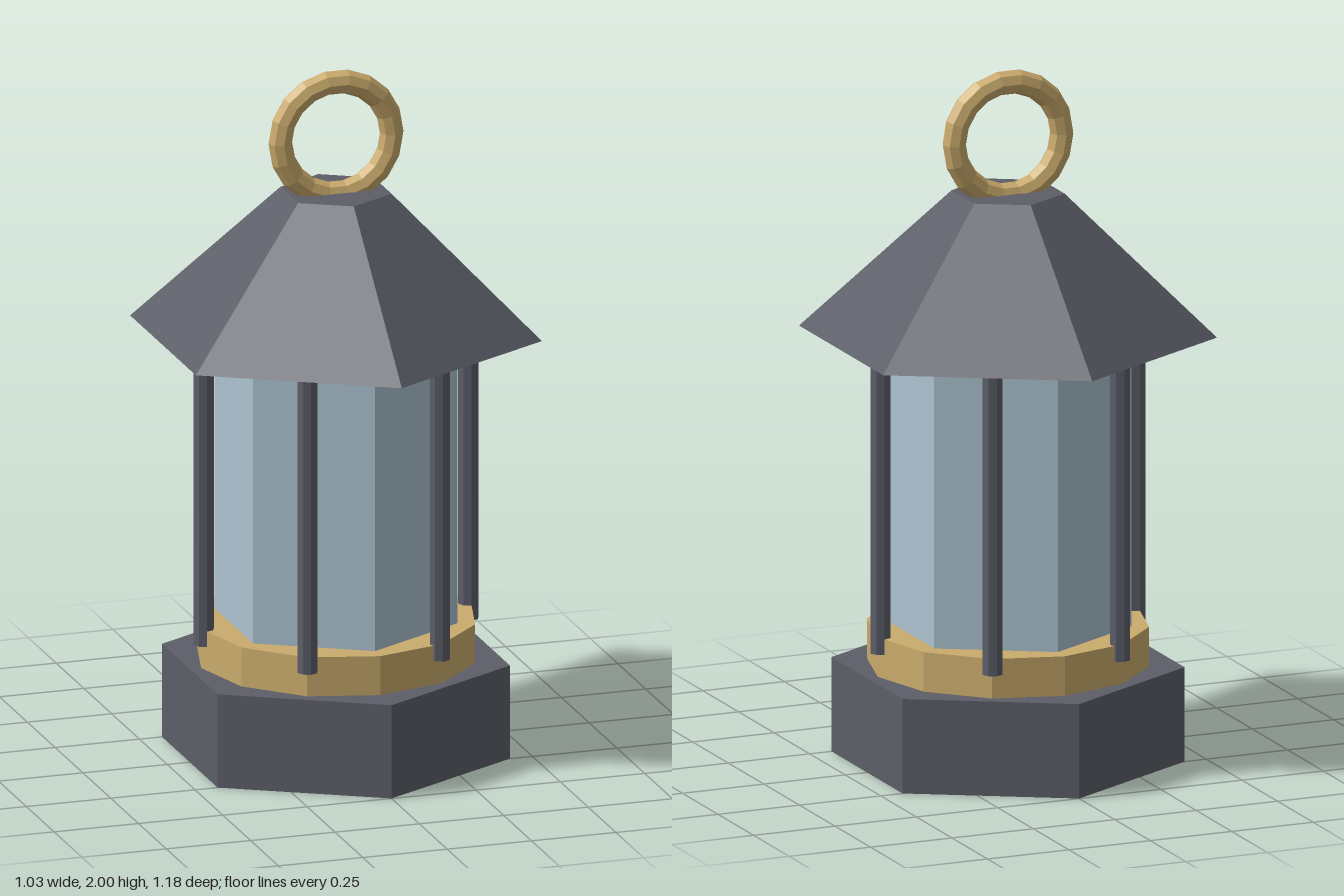
import * as THREE from 'three';

export function createModel() {
  const group = new THREE.Group();
  group.name = 'lantern';

  const flat = (name, color) => {
    const m = new THREE.MeshStandardMaterial({ color, flatShading: true });
    m.name = name;
    return m;
  };
  const iron = flat('iron', 0x5c5e68);
  const brass = flat('brass', 0xcaab6c);
  const glass = flat('paleGlass', 0xabc2cf);

  const add = (name, geometry, material, x = 0, y = 0, z = 0) => {
    const mesh = new THREE.Mesh(geometry, material);
    mesh.name = name;
    mesh.position.set(x, y, z);
    group.add(mesh);
    return mesh;
  };

  // Upright prism or frustum between two heights
  const prism = (name, rTop, rBottom, y0, y1, sides, material, x = 0, z = 0) =>
    add(name, new THREE.CylinderGeometry(rTop, rBottom, y1 - y0, sides), material, x, (y0 + y1) / 2, z);

  // Body, stacked from the ground up
  prism('base', 0.5, 0.5, 0, 0.275, 6, iron);
  prism('collar', 0.4, 0.4, 0.275, 0.39, 12, brass);
  prism('glassPane', 0.35, 0.35, 0.385, 1.25, 6, glass);
  prism('roof', 0.16, 0.592, 1.238, 1.645, 6, iron);

  // Six posts around the glass
  for (let i = 0; i < 6; i++) {
    const a = (i * Math.PI) / 3;
    prism('post', 0.03, 0.03, 0.345, 1.25, 8, iron, Math.cos(a) * 0.392, Math.sin(a) * 0.392);
  }

  // Carrying ring
  add('handleRing', new THREE.TorusGeometry(0.165, 0.035, 8, 18), brass, 0, 1.801, 0);

  return group;
}
